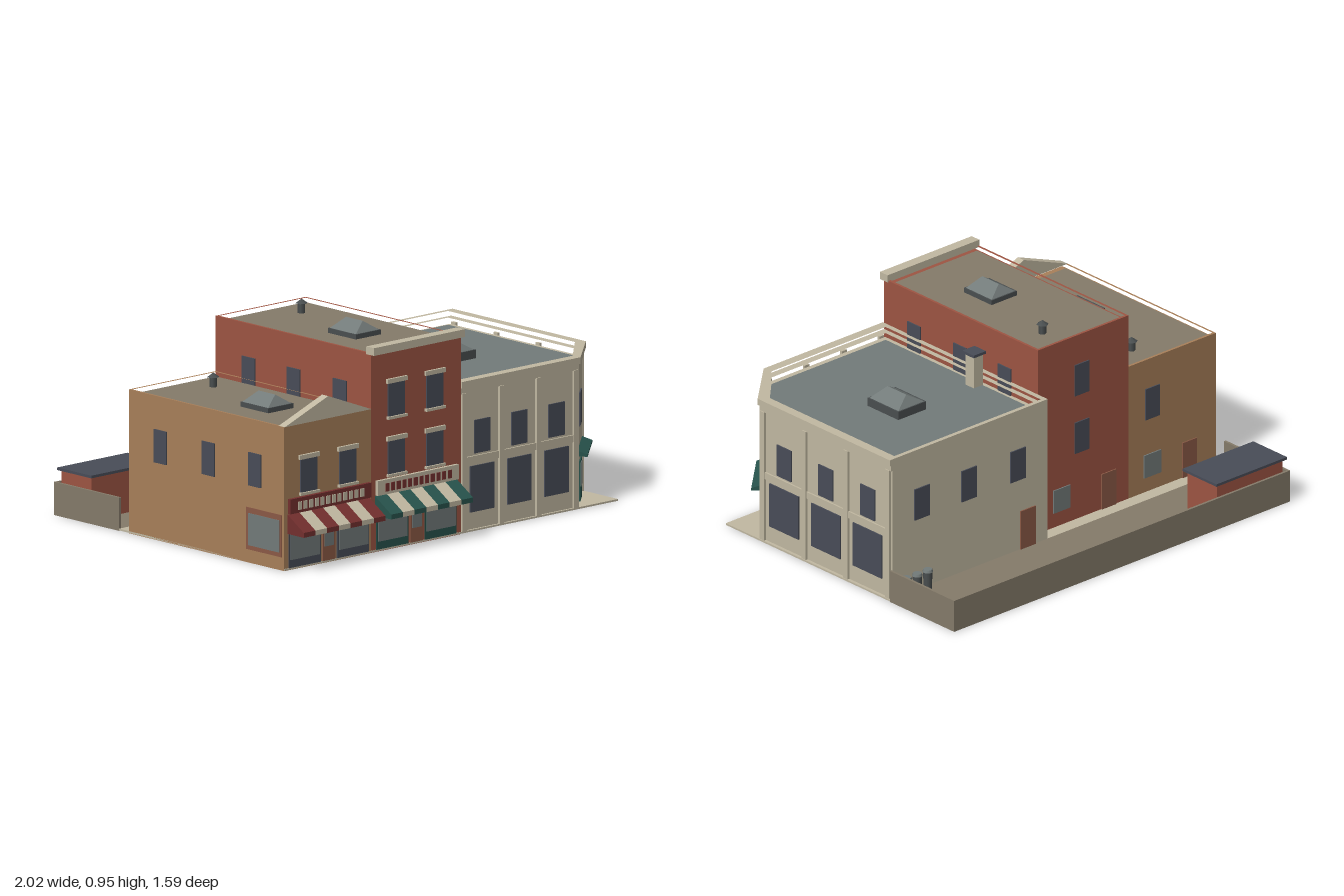
import * as THREE from 'three';

const colours = {
  cream: 0xc2b9a2, brick: 0x9e5543, tan: 0xa9805a, slate: 0x494d58, green: 0x28544d,
  maroon: 0x74302f, grey: 0x737b7a, taupe: 0x857b6a, darkMetal: 0x4a4f50, doorBrown: 0x8c5a46,
};

export function createModel() {
  const root = new THREE.Group();
  root.name = 'streetCorner';
  const M = {};
  for (const [name, color] of Object.entries(colours)) {
    M[name] = new THREE.MeshStandardMaterial({ color });
    M[name].name = name;
  }

  const add = (parent, name, geo, mat) => {
    const mesh = new THREE.Mesh(geo, mat);
    mesh.name = name;
    parent.add(mesh);
    return mesh;
  };
  // Box given by its limits
  const box = (parent, name, mat, x0, x1, y0, y1, z0, z1) => {
    const geo = new THREE.BoxGeometry(x1 - x0, y1 - y0, z1 - z0);
    geo.translate((x0 + x1) / 2, (y0 + y1) / 2, (z0 + z1) / 2);
    return add(parent, name, geo, mat);
  };
  // Plan outline [x, z] extruded upward, with an optional hole
  const prism = (parent, name, mat, pts, y0, y1, hole) => {
    const toVec = ([x, z]) => new THREE.Vector2(x, -z);
    const shape = new THREE.Shape(pts.map(toVec));
    if (hole) shape.holes.push(new THREE.Path(hole.map(toVec)));
    const geo = new THREE.ExtrudeGeometry(shape, { depth: y1 - y0, bevelEnabled: false });
    geo.rotateX(-Math.PI / 2).translate(0, y0, 0);
    return add(parent, name, geo, mat);
  };
  const rect = (x0, x1, z0, z1) => [[x0, z0], [x1, z0], [x1, z1], [x0, z1]];
  // Side profile [z, y] extruded along x
  const profile = (parent, name, mat, pts, x0, x1) => {
    const shape = new THREE.Shape(pts.map(([z, y]) => new THREE.Vector2(-z, y)));
    const geo = new THREE.ExtrudeGeometry(shape, { depth: x1 - x0, bevelEnabled: false });
    geo.rotateY(Math.PI / 2).translate(x0, 0, 0);
    return add(parent, name, geo, mat);
  };
  // Group whose local z points out of a wall
  const wall = (name, x, z, angle) => {
    const g = new THREE.Group();
    g.name = name;
    g.position.set(x, 0, z);
    g.rotation.y = angle;
    root.add(g);
    return g;
  };
  const plate = (g, name, mat, x, w, y0, y1, z = 0, t = 0.006) =>
    box(g, name, mat, x - w / 2, x + w / 2, y0, y1, z, z + t);
  const sash = (g, x, y, w = 0.1, trim = true) => {
    plate(g, 'window', M.slate, x, w, y, y + 0.15);
    if (!trim) return;
    plate(g, 'lintel', M.cream, x, w + 0.02, y + 0.15, y + 0.17, 0, 0.012);
    plate(g, 'sill', M.cream, x, w + 0.015, y - 0.012, y, 0, 0.015);
  };

  // Ground, yard and yard wall
  box(root, 'pavement', M.cream, -1, 1, 0.002, 0.01, -0.38, 0.69);
  box(root, 'yard', M.taupe, -1, 1, 0, 0.01, -0.8, -0.38);
  box(root, 'yardBackWall', M.taupe, -1, 1, 0, 0.15, -0.8, -0.788);
  for (const s of [-1, 1]) box(root, 'yardSideWall', M.taupe, s * 0.994 - 0.006, s * 0.994 + 0.006, 0, 0.15, -0.788, -0.38);
  box(root, 'shed', M.brick, -0.975, -0.585, 0.01, 0.205, -0.778, -0.585);
  box(root, 'shedRoof', M.slate, -0.99, -0.57, 0.203, 0.215, -0.79, -0.57);
  for (const x of [0.815, 0.877, 0.94]) {
    add(root, 'bin', new THREE.CylinderGeometry(0.021, 0.019, 0.095, 12).translate(x, 0.057, -0.425), M.darkMetal);
    add(root, 'binLid', new THREE.CylinderGeometry(0.02, 0.024, 0.012, 12).translate(x, 0.111, -0.425), M.grey);
  }

  // Building shells with a sunken flat roof
  const shell = (name, mat, roofMat, outline, inner, roofY, top) => {
    prism(root, name, mat, outline, 0, roofY - 0.004);
    prism(root, name + 'Parapet', mat, outline, roofY - 0.004, top, inner);
    prism(root, name + 'Roof', roofMat, inner, roofY - 0.004, roofY);
  };
  shell('tanHouse', M.tan, M.taupe, rect(-1, -0.48, -0.315, 0.688), rect(-0.99, -0.49, -0.303, 0.655), 0.63, 0.65);
  shell('brickHouse', M.brick, M.taupe, rect(-0.48, 0.06, -0.315, 0.688), rect(-0.468, 0.048, -0.303, 0.66), 0.88, 0.9);
  const corner = (x, z, cx, cz) => [[0.06, -0.38], [x, -0.38], [x, cz], [cx, z], [0.06, z]];
  const roofHole = [[0.085, -0.36], [0.955, -0.36], [0.955, 0.46], [0.765, 0.65], [0.085, 0.65]];
  shell('cornerHouse', M.cream, M.grey, corner(0.985, 0.68, 0.765, 0.475), roofHole, 0.625, 0.687);
  prism(root, 'cornerCornice', M.cream, corner(1, 0.695, 0.77, 0.482), 0.657, 0.687, roofHole);
  prism(root, 'cornerMoulding', M.cream, corner(0.992, 0.687, 0.768, 0.479), 0.63, 0.657, roofHole);

  // Front gable and cornice
  const gable = new THREE.Shape([[-1, 0.65], [-0.48, 0.65], [-0.74, 0.75]].map(([x, y]) => new THREE.Vector2(x, y)));
  add(root, 'gable', new THREE.ExtrudeGeometry(gable, { depth: 0.04, bevelEnabled: false }).translate(0, 0, 0.652), M.cream);
  box(root, 'brickCornice', M.cream, -0.482, 0.064, 0.893, 0.928, 0.66, 0.71);

  // Skylights, vents and chimney
  const skylight = (x, y, z, w, d) => {
    box(root, 'skylightCurb', M.darkMetal, x - w / 2, x + w / 2, y, y + 0.022, z - d / 2, z + d / 2);
    const hip = new THREE.BoxGeometry(w - 0.012, 0.045, d - 0.012);
    const p = hip.attributes.position;
    for (let i = 0; i < p.count; i++) if (p.getY(i) > 0) p.setXYZ(i, 0, p.getY(i), p.getZ(i) * 0.64);
    hip.computeVertexNormals();
    add(root, 'skylightGlass', hip.translate(x, y + 0.0445, z), M.grey);
  };
  skylight(-0.735, 0.63, 0.29, 0.15, 0.18);
  skylight(-0.21, 0.88, 0.29, 0.15, 0.18);
  skylight(0.52, 0.642, 0.1, 0.165, 0.2);
  box(root, 'skylightBase', M.darkMetal, 0.4375, 0.6025, 0.62, 0.642, 0, 0.2);
  for (const [x, y] of [[-0.635, 0.63], [-0.105, 0.88]]) {
    add(root, 'vent', new THREE.CylinderGeometry(0.017, 0.017, 0.046, 6).translate(x, y + 0.023, -0.165), M.darkMetal);
    add(root, 'ventCap', new THREE.ConeGeometry(0.028, 0.02, 6).translate(x, y + 0.054, -0.165), M.darkMetal);
  }
  box(root, 'chimney', M.cream, 0.083, 0.137, 0.6, 0.777, 0.018, 0.072);
  box(root, 'chimneyCap', M.slate, 0.074, 0.146, 0.777, 0.79, 0.008, 0.082);

  // Shopfronts with striped awnings
  const front = wall('shopFronts', 0, 0.688, 0);
  const shop = (cx, frameMat, baseMat, fasciaMat, panelMat) => {
    const w = 0.49, x0 = cx - w / 2;
    plate(front, 'fascia', fasciaMat, cx, w - 0.005, 0.255, 0.322, 0, 0.016);
    for (let i = 0; i < 12; i++)
      plate(front, 'fasciaPanel', panelMat, cx + (i - 5.5) * 0.034, 0.022, 0.268, 0.305, 0.016, 0.003);
    for (let i = 0; i < 7; i++)
      profile(front, 'awningStripe', i % 2 ? M.cream : frameMat,
        [[0, 0.252], [0, 0.165], [0.105, 0.165], [0.105, 0.187]].reverse(), x0 + i * w / 7, x0 + (i + 1) * w / 7);
    for (const s of [-1, 1]) {
      plate(front, 'shopBase', baseMat, cx + s * 0.145, 0.19, 0.01, 0.165, 0, 0.005);
      plate(front, 'shopWindow', M.grey, cx + s * 0.145, 0.175, 0.046, 0.16, 0.005, 0.004);
    }
    plate(front, 'shopDoor', M.doorBrown, cx, 0.075, 0.01, 0.165, 0, 0.005);
    plate(front, 'shopDoorGlass', M.grey, cx, 0.055, 0.075, 0.16, 0.005, 0.003);
  };
  shop(-0.735, M.maroon, M.slate, M.maroon, M.cream);
  shop(-0.21, M.green, M.green, M.cream, M.maroon);
  for (const x of [-0.855, -0.622, -0.33, -0.1]) sash(front, x, 0.34);
  for (const x of [-0.33, -0.1]) sash(front, x, 0.6);

  // Corner house bays: piers, bands and windows
  const bays = (g, start, step) => {
    for (let i = 0; i < 4; i++) {
      plate(g, 'pier', M.cream, start + i * step, 0.028, 0.01, 0.632, 0, 0.012);
      if (i === 3) break;
      const c = start + (i + 0.5) * step;
      plate(g, 'band', M.cream, c, step - 0.028, 0.308, 0.34, 0, 0.008);
      plate(g, 'displayWindow', M.slate, c, step === 0.272 ? 0.19 : 0.143, 0.087, 0.295);
      sash(g, c, 0.35, 0.094, false);
    }
  };
  bays(wall('cornerFront', 0, 0.68, 0), 0.08, 0.223);
  bays(wall('cornerSide', 0.985, 0, Math.PI / 2), -0.458, 0.272);

  // Angled entrance
  const entry = wall('entrance', 0.875, 0.5775, Math.atan2(0.205, 0.22));
  sash(entry, 0, 0.35, 0.095, false);
  plate(entry, 'entranceDoor', M.green, 0, 0.1, 0.01, 0.192);
  plate(entry, 'entranceDoorGlass', M.grey, 0, 0.065, 0.075, 0.18, 0.006, 0.003);
  profile(entry, 'canopy', M.green, [[0, 0.262], [0, 0.235], [0.045, 0.235], [0.045, 0.245]].reverse(), -0.143, 0.143);

  // Rear walls
  const rear = wall('rearWalls', 0, -0.315, Math.PI);
  for (const y of [0.33, 0.61]) sash(rear, 0.2, y, 0.085, false);
  sash(rear, 0.62, 0.36, 0.085, false);
  for (const x of [0.08, 0.62]) plate(rear, 'rearGroundWindow', M.grey, x, 0.1, 0.08, 0.19);
  for (const x of [0.36, 0.84]) plate(rear, 'rearDoor', M.doorBrown, x, 0.085, 0.01, 0.18);
  const rearCorner = wall('cornerRear', 0, -0.38, Math.PI);
  for (const x of [-0.81, -0.53, -0.24]) sash(rearCorner, x, 0.35, 0.09, false);
  plate(rearCorner, 'rearDoor', M.doorBrown, -0.18, 0.09, 0.01, 0.195);

  // Side walls
  const left = wall('tanSide', -1, 0, -Math.PI / 2);
  for (const z of [-0.11, 0.2, 0.5]) sash(left, z, 0.35, 0.08, false);
  plate(left, 'sideWindowFrame', M.doorBrown, 0.56, 0.23, 0.06, 0.25, 0, 0.003);
  plate(left, 'sideWindow', M.grey, 0.56, 0.2, 0.08, 0.225, 0.003, 0.003);
  const brickLeft = wall('brickLeftSide', -0.48, 0, -Math.PI / 2);
  const brickRight = wall('brickRightSide', 0.06, 0, Math.PI / 2);
  for (const z of [-0.1, 0.19, 0.49]) {
    sash(brickLeft, z, 0.6, 0.085, false);
    sash(brickRight, -z, 0.6, 0.085, false);
  }
  return root;
}
